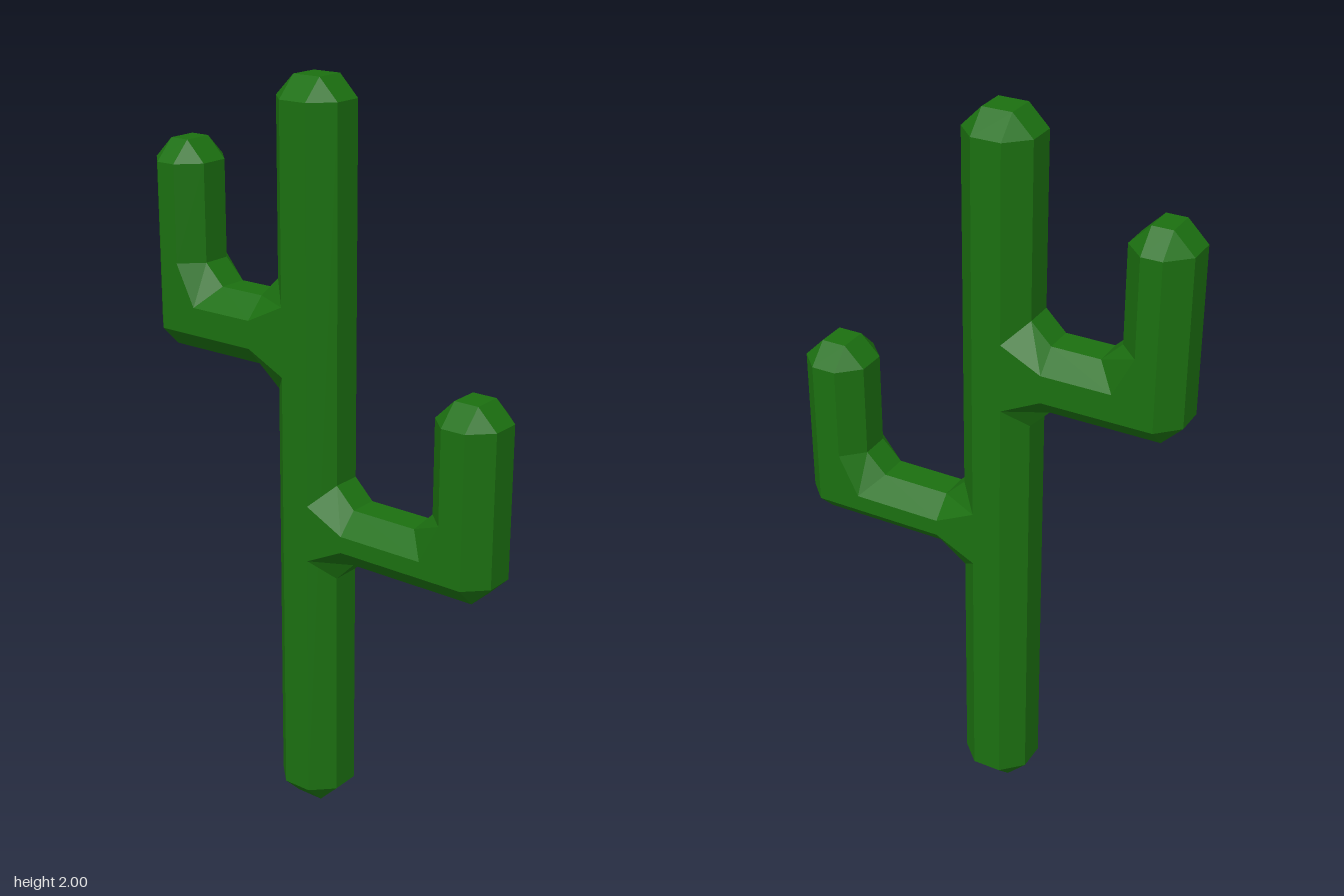
import * as THREE from 'three';

const W = 0.095;       // half width of trunk and arms
const F = 0.04;        // half width of the flat strips
const C = 0.055;       // size of the chamfers
const TRUNK_Z = -0.035;

// Eight-sided ring, symmetric in x, from four [y, z] pairs (flat, side, side, flat)
function ring(p, dir = 1, side = W) {
  const xs = [F, side, side, F, -F, -side, -side, -F];
  const ks = [0, 1, 2, 3, 3, 2, 1, 0];
  return xs.map((x, i) => new THREE.Vector3(x * dir, p[ks[i]][0], p[ks[i]][1]));
}

// Joins the rings with flat faces; a ring with side = F is a square end cap
function loft(name, rings, material, capStart) {
  const pos = [];
  const tri = (a, b, c) => {
    const area = b.clone().sub(a).cross(c.clone().sub(a)).length();
    if (area > 1e-7) for (const v of [a, b, c]) pos.push(v.x, v.y, v.z);
  };
  for (let r = 0; r < rings.length - 1; r++) {
    const a = rings[r], b = rings[r + 1];
    for (let i = 0; i < 8; i++) {
      const j = (i + 1) % 8;
      tri(a[i], a[j], b[j]);
      tri(a[i], b[j], b[i]);
    }
  }
  const e = rings[rings.length - 1], s = rings[0];
  tri(e[0], e[3], e[4]);
  tri(e[0], e[4], e[7]);
  if (capStart) {
    tri(s[0], s[4], s[3]);
    tri(s[0], s[7], s[4]);
  }
  const geo = new THREE.BufferGeometry();
  geo.setAttribute('position', new THREE.Float32BufferAttribute(pos, 3));
  geo.computeVertexNormals();
  const mesh = new THREE.Mesh(geo, material);
  mesh.name = name;
  mesh.position.z = TRUNK_Z;
  return mesh;
}

// Arm leaving the trunk towards dir * z and bending upwards
function arm(name, dir, { yLo, yHi, rIn, rOut, top }, material) {
  const at = (pts, side) => ring(pts.map(([y, r]) => [y, r * dir]), -dir, side);
  const rings = [
    // flared joint on the trunk
    at([[yHi + C, W], [yHi, F], [yLo, F], [yLo - C, W]]),
    // start of the straight part
    at([[yHi, W + C], [yHi - C, W + C], [yLo + C, W + C], [yLo, W + C]]),
    // elbow
    at([[yHi, rIn - C], [yHi - C, rIn], [yLo + C, rOut - C], [yLo, rOut - C]]),
    at([[yHi + C, rIn], [yHi + C, rIn + C], [yLo + C, rOut - C], [yLo + C, rOut]]),
    // chamfered tip
    at([[top - C, rIn], [top - C, rIn + C], [top - C, rOut - C], [top - C, rOut]]),
    at([[top, rIn + C], [top, rIn + C], [top, rOut - C], [top, rOut - C]], F),
  ];
  return loft(name, rings, material, false);
}

export function createModel() {
  const group = new THREE.Group();
  group.name = 'cactus';
  const green = new THREE.MeshStandardMaterial({ color: 0x1b6f10, flatShading: true });

  // Trunk with chamfered ends
  const body = (y) => ring([[y, W], [y, F], [y, -F], [y, -W]]);
  const end = (y) => ring([[y, F], [y, F], [y, -F], [y, -F]], 1, F);
  group.add(loft('trunk', [end(0), body(C), body(2 - C), end(2)], green, true));

  // Two arms
  group.add(arm('frontArm', 1, { yLo: 0.755, yHi: 0.91, rIn: 0.395, rOut: 0.573, top: 1.275 }, green));
  group.add(arm('backArm', -1, { yLo: 1.245, yHi: 1.43, rIn: 0.338, rOut: 0.503, top: 1.8 }, green));
  return group;
}
